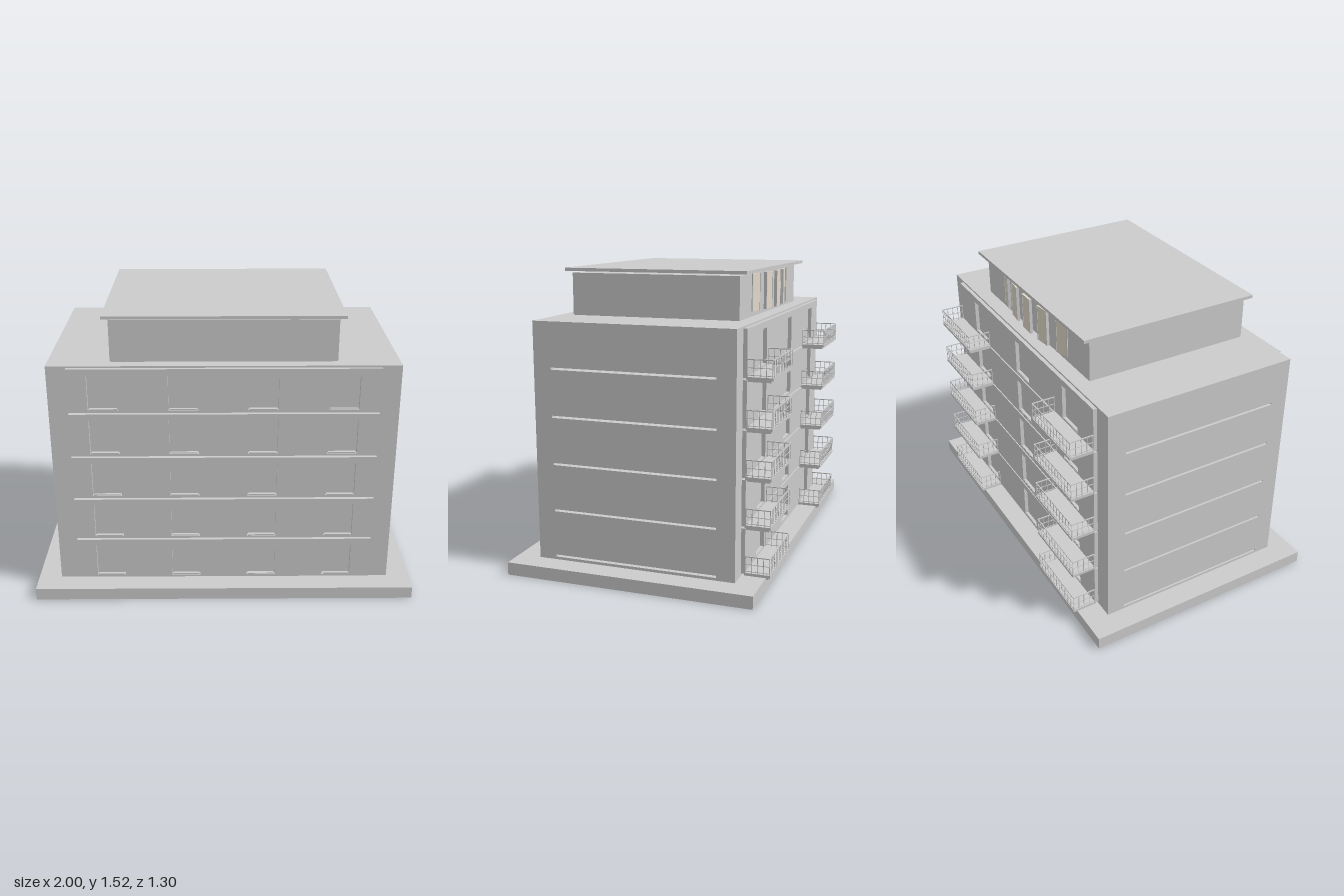
import * as THREE from 'three';

const grey = new THREE.MeshStandardMaterial({ color: 0xcccccc });
const cream = new THREE.MeshStandardMaterial({ color: 0xe0d8c8 });

const FLOORS = 5;
const PITCH = 0.24;

// Box given by its minimum and maximum on each axis
function box(parent, name, [x0, x1], [y0, y1], [z0, z1], material = grey) {
  const mesh = new THREE.Mesh(new THREE.BoxGeometry(x1 - x0, y1 - y0, z1 - z0), material);
  mesh.position.set((x0 + x1) / 2, (y0 + y1) / 2, (z0 + z1) / 2);
  mesh.name = name;
  parent.add(mesh);
  return mesh;
}

function rect(target, x0, x1, y0, y1) {
  target.moveTo(x0, y0);
  target.lineTo(x1, y0);
  target.lineTo(x1, y1);
  target.lineTo(x0, y1);
  target.closePath();
  return target;
}

// Wall slab with one rectangular opening per window centre
function facadePanel(y, z, centres) {
  const panel = new THREE.Group();
  panel.name = 'facadePanel';
  const shape = rect(new THREE.Shape(), -0.78, 0.78, y, y + 0.23);
  for (const x of centres) {
    shape.holes.push(rect(new THREE.Path(), x - 0.075, x + 0.075, y + 0.012, y + 0.197));
    box(panel, 'windowSill', [x - 0.07, x + 0.07], [y + 0.012, y + 0.018], [z + 0.001, z + 0.017]);
  }
  const wall = new THREE.Mesh(
    new THREE.ExtrudeGeometry(shape, { depth: 0.02, bevelEnabled: false }), grey);
  wall.position.z = z;
  wall.name = 'panelWall';
  panel.add(wall);
  return panel;
}

// Balcony with stepped slab and thin railing on three sides
function balcony(x0, y) {
  const g = new THREE.Group();
  g.name = 'balcony';
  const x1 = x0 + 0.39, zBack = -0.52, zOut = -0.647, r = 0.0015;
  box(g, 'balconyFloor', [x0, x1], [y - 0.014, y], [-0.65, zBack]);
  box(g, 'balconyUnderside', [x0 + 0.01, x1 - 0.01], [y - 0.025, y - 0.014], [-0.64, zBack]);
  for (const h of [0.008, 0.043, 0.082]) {
    const t = h > 0.08 ? 0.0025 : r;
    const yy = [y + h - t, y + h + t];
    box(g, 'frontRail', [x0, x1], yy, [zOut - t, zOut + t]);
    for (const x of [x0 + 0.003, x1 - 0.003])
      box(g, 'sideRail', [x - t, x + t], yy, [zOut, zBack]);
  }
  const bars = 12;
  for (let i = 0; i <= bars; i++) {
    const x = x0 + 0.003 + (0.384 * i) / bars;
    box(g, 'railBar', [x - r, x + r], [y, y + 0.082], [zOut - r, zOut + r]);
  }
  for (let i = 1; i <= 4; i++) {
    const z = zOut + 0.03 * i;
    for (const x of [x0 + 0.003, x1 - 0.003])
      box(g, 'sideRailBar', [x - r, x + r], [y, y + 0.082], [z - r, z + r]);
  }
  return g;
}

export function createModel() {
  const model = new THREE.Group();
  model.name = 'apartmentBuilding';

  box(model, 'basePlate', [-1, 1], [0, 0.065], [-0.627, 0.65]);

  // Main block, extruded along x, with a long slot through it on each storey
  const profile = rect(new THREE.Shape(), -0.53, 0.505, 0.065, 1.275);
  for (let i = 0; i < FLOORS; i++) {
    const y = 0.079 + i * PITCH;
    profile.holes.push(rect(new THREE.Path(), -0.44, 0.41, y, y + 0.011));
  }
  const body = new THREE.Mesh(
    new THREE.ExtrudeGeometry(profile, { depth: 1.76, bevelEnabled: false }), grey);
  body.rotation.y = Math.PI / 2;
  body.position.x = -0.88;
  body.name = 'mainBlock';
  model.add(body);

  // Storeys: front and back panels, pair of balconies
  for (let i = 0; i < FLOORS; i++) {
    const y = 0.076 + i * PITCH;
    model.add(facadePanel(y, 0.53, [-0.605, -0.203, 0.197, 0.6]));
    model.add(facadePanel(y, -0.525, [-0.55, -0.03, 0.5]));
    for (const x of [-0.78, 0.39]) model.add(balcony(x, 0.082 + i * PITCH));
  }

  // Penthouse with a floating roof slab
  const penthouse = new THREE.Group();
  penthouse.name = 'penthouse';
  model.add(penthouse);
  box(penthouse, 'penthouseRoom', [-0.56, 0.56], [1.275, 1.49], [-0.425, 0.455]);
  for (const s of [-1, 1]) {
    const xs = s < 0 ? [-0.57, -0.56] : [0.56, 0.57];
    box(penthouse, 'penthouseSideWall', xs, [1.275, 1.49], [-0.425, 0.455]);
  }
  box(penthouse, 'penthouseFrontWall', [-0.565, 0.565], [1.275, 1.49], [0.455, 0.465]);
  box(penthouse, 'roofSlab', [-0.6, 0.6], [1.5, 1.516], [-0.468, 0.49]);

  // Shallow arc of tall framed screens behind the penthouse
  const R = 1.38;
  for (let i = -2; i <= 2; i++) {
    const a = i * 0.115;
    const screen = new THREE.Group();
    screen.name = 'screen';
    box(screen, 'screenPanel', [-0.037, 0.037], [1.3, 1.49], [-0.006, 0.006], cream);
    for (const x of [-0.04, 0.04])
      box(screen, 'screenFrame', [x - 0.003, x + 0.003], [1.3, 1.49], [-0.008, 0.008]);
    screen.position.set(R * Math.sin(a), 0, -0.468 + R * (1 - Math.cos(a)));
    screen.rotation.y = -a;
    penthouse.add(screen);
  }

  return model;
}
